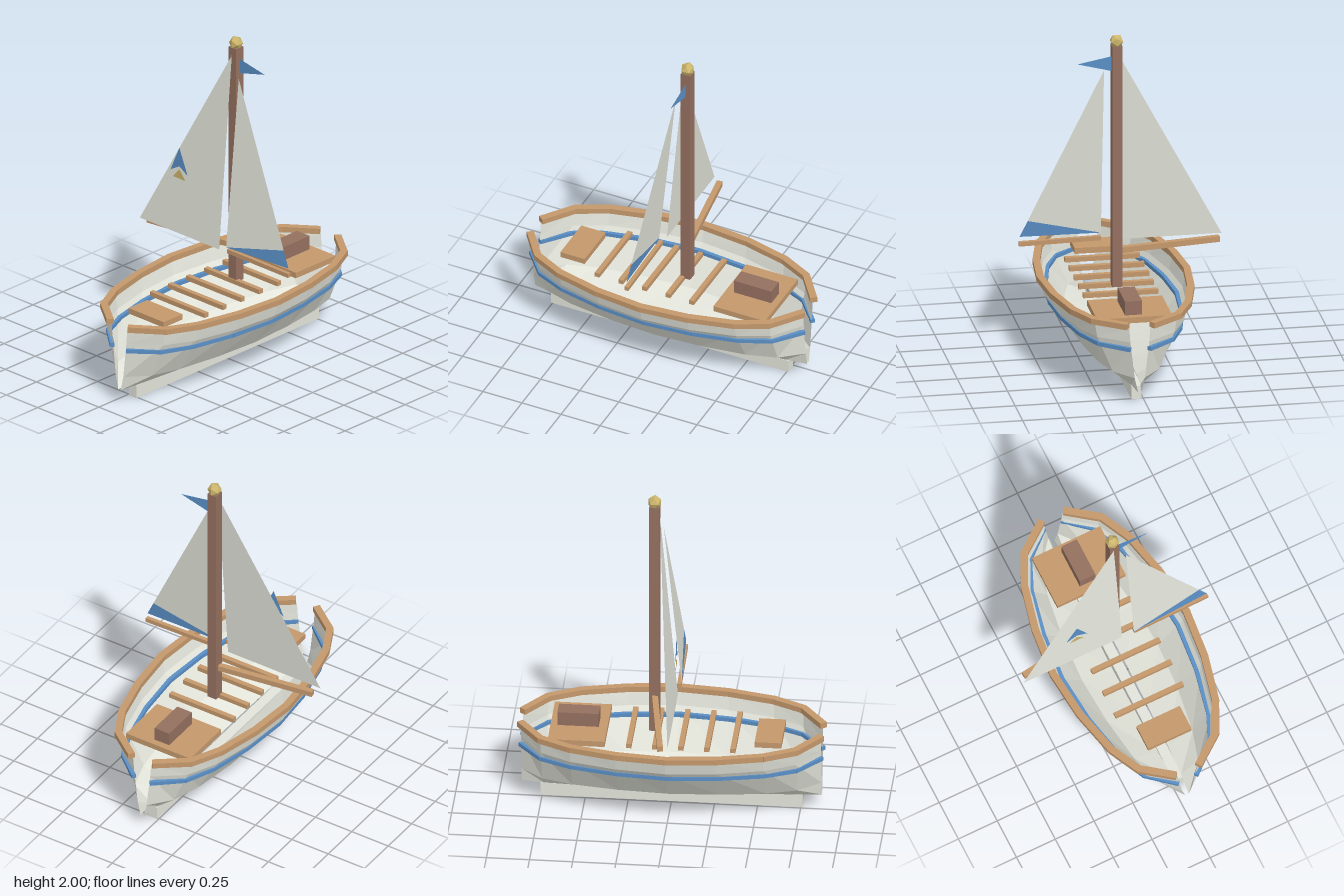
import * as THREE from 'three';

const CX = 0.04; // centre line of the hull and mast

function makeMaterial(name, color) {
  const m = new THREE.MeshStandardMaterial({ color, side: THREE.DoubleSide });
  m.name = name;
  return m;
}

export function createModel() {
  const canvas = makeMaterial('offWhite', 0xe2e4da);
  const wood = makeMaterial('lightWood', 0xc4986c);
  const brown = makeMaterial('darkWood', 0x94705f);
  const blue = makeMaterial('blue', 0x5a8fc6);
  const gold = makeMaterial('gold', 0xcdb66c);
  const model = new THREE.Group();
  model.name = 'sailboat';

  const add = (name, geometry, material, parent = model) => {
    const mesh = new THREE.Mesh(geometry, material);
    mesh.name = name;
    parent.add(mesh);
    return mesh;
  };
  const box = (name, material, size, pos) => {
    const mesh = add(name, new THREE.BoxGeometry(...size), material);
    mesh.position.set(...pos);
    return mesh;
  };
  // Box laid between two points
  const beam = (name, material, a, b, width, height, extra, parent) => {
    const p = new THREE.Vector3(...a), q = new THREE.Vector3(...b);
    const mesh = add(name, new THREE.BoxGeometry(width, height, p.distanceTo(q) + extra), material, parent);
    mesh.position.copy(p).add(q).multiplyScalar(0.5);
    mesh.lookAt(q);
    return mesh;
  };
  // Thin flat sheet from corners
  const sheet = (name, material, corners) => {
    const g = new THREE.BufferGeometry().setFromPoints(corners.map((c) => new THREE.Vector3(...c)));
    g.computeVertexNormals();
    return add(name, g, material);
  };

  // Plan outline: z station and fullness, mirrored bow to stern
  const half = [[0.29, 0.92], [0.56, 0.74], [0.74, 0.49], [0.87, 0]];
  const stations = [...half.map(([z, f]) => [-z, f]).reverse(), [0, 1], ...half];
  // Side profile: y, half width amidships, half width at the ends
  const profile = [[0.48, 0.428, 0.062], [0.39, 0.405, 0.055], [0.17, 0.245, 0.03], [0.08, 0.042, 0.01]];
  const halfWidth = (mid, end, f) => end + (mid - end) * f;

  for (const side of [-1, 1]) {
    const label = side > 0 ? 'left' : 'right';

    // Hull shell
    const points = [];
    const at = (i, j) => {
      const [z, f] = stations[i], [y, mid, end] = profile[j];
      return [CX + side * halfWidth(mid, end, f), y, z];
    };
    for (let i = 0; i < stations.length - 1; i++) {
      for (let j = 0; j < profile.length - 1; j++) {
        const a = at(i, j), b = at(i + 1, j), c = at(i + 1, j + 1), d = at(i, j + 1);
        points.push(...(side > 0 ? [a, b, c, a, c, d] : [a, c, b, a, d, c]).flat());
      }
    }
    const shell = new THREE.BufferGeometry();
    shell.setAttribute('position', new THREE.Float32BufferAttribute(points, 3));
    shell.computeVertexNormals();
    add(label + 'Hull', shell, canvas);

    // Gunwale rail and painted stripe follow the hull outline
    const run = (name, material, y, mid, end, width, height) => {
      const group = new THREE.Group();
      group.name = label + name;
      model.add(group);
      for (let i = 0; i < stations.length - 1; i++) {
        const [p, q] = [stations[i], stations[i + 1]].map(([z, f]) =>
          [CX + side * halfWidth(mid, end, f), y, z]);
        beam(name + 'Segment', material, p, q, width, height, 0.012, group);
      }
    };
    run('Rail', wood, 0.492, 0.43, 0.075, 0.042, 0.034);
    run('Stripe', blue, 0.348, 0.373, 0.06, 0.026, 0.024);
  }

  // Keel
  box('keel', canvas, [0.06, 0.08, 1.52], [CX, 0.04, 0]);

  // Decks, thwarts and stern locker
  box('sternDeck', wood, [0.44, 0.035, 0.33], [CX, 0.463, -0.535]);
  box('bowSeat', wood, [0.28, 0.035, 0.155], [CX, 0.463, 0.57]);
  for (let i = 0; i < 5; i++) {
    box('thwart', wood, [0.44, 0.028, 0.03], [CX, 0.46, -0.23 + i * 0.151]);
  }
  box('locker', brown, [0.1, 0.09, 0.24], [CX, 0.52, -0.54]);

  // Mast, finial and spars
  box('mast', brown, [0.06, 1.48, 0.06], [CX, 1.2, -0.1]);
  add('finial', new THREE.IcosahedronGeometry(0.042, 0), gold).position.set(CX, 1.964, -0.1);
  beam('mainBoom', wood, [-0.577, 0.677, -0.01], [CX, 0.677, -0.1], 0.034, 0.034, 0);
  beam('jibBoom', wood, [0.11, 0.709, 0.035], [0.59, 0.703, 0.028], 0.024, 0.026, 0);

  // Sails; the jib has a blue foot panel
  sheet('mainSail', canvas, [[-0.6, 0.692, 0.035], [0.035, 0.692, 0.035], [0.035, 1.89, -0.07]]);
  const tack = [0.105, 0.733, 0.05], clew = [0.585, 0.745, 0.03], head = [0.105, 1.77, -0.055];
  const leech = clew.map((v, i) => v + (head[i] - v) * 0.095);
  sheet('jib', canvas, [tack, leech, head]);
  sheet('jibFootPanel', blue, [tack, clew, leech]);

  // Sail emblem
  const ez = 0.055;
  sheet('emblemArrow', blue, [
    [-0.265, 1.25, ez], [-0.335, 1.09, ez], [-0.265, 1.132, ez],
    [-0.265, 1.25, ez], [-0.265, 1.132, ez], [-0.198, 1.09, ez],
  ]);
  sheet('emblemTriangle', gold, [[-0.265, 1.112, ez], [-0.316, 1.053, ez], [-0.216, 1.053, ez]]);

  // Pennant
  sheet('pennant', blue, [[0.07, 1.87, -0.1], [0.07, 1.78, -0.1], [0.27, 1.833, -0.1]]);

  return model;
}
